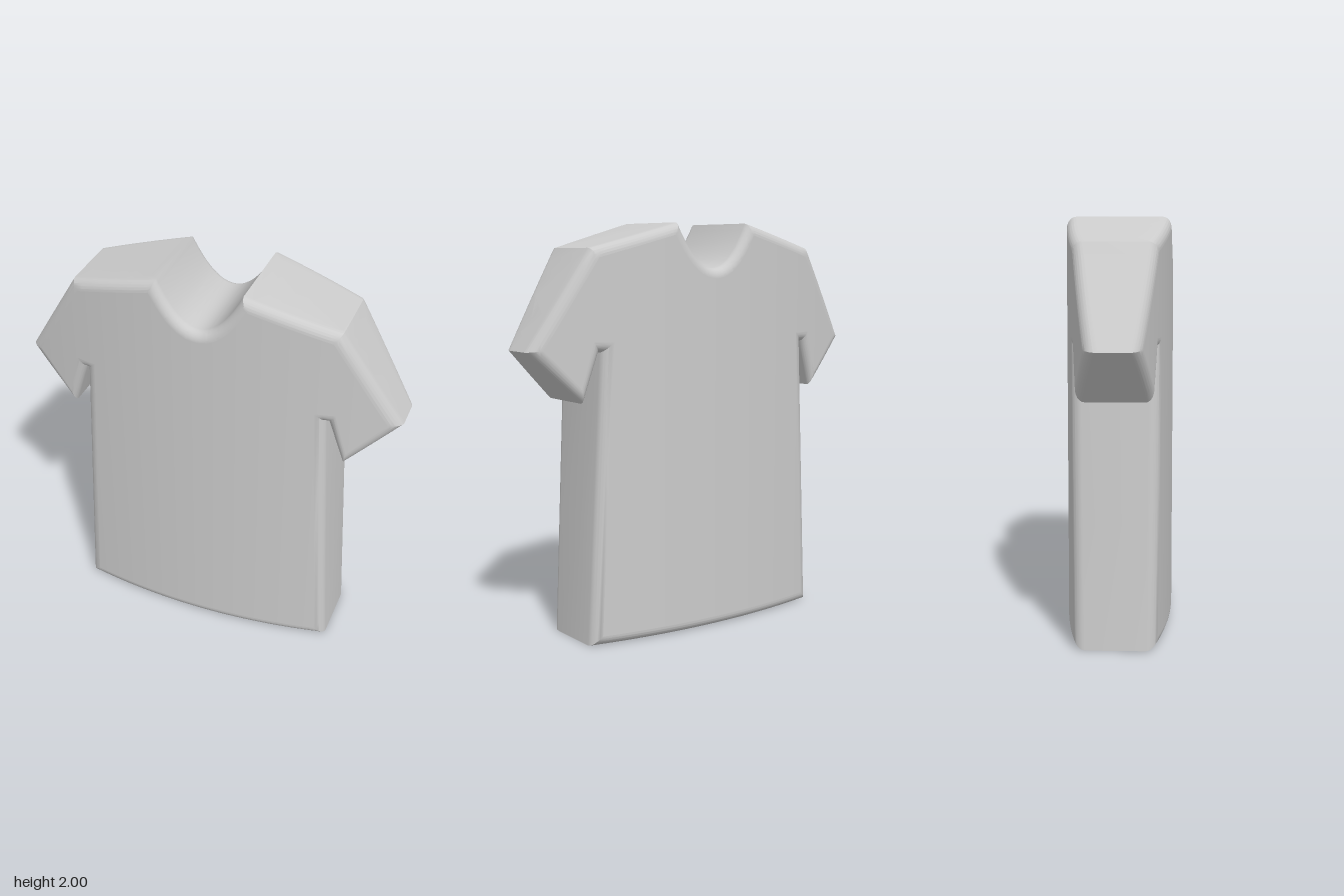
import * as THREE from 'three';
import { toCreasedNormals } from 'three/addons/utils/BufferGeometryUtils.js';

const HALF_DEPTH = 0.26; // half thickness at the centre line
const CURVE = 0.16;      // how fast the shirt thins towards the sleeves
const ROUND = 0.05;      // rounded edge size
const ROUND_Z = 0.045;

// Right half of the outline, from hem to shoulder
const HALF = [
  [0.68, 0], [0.624, 1.39], [0.612, 1.4], [0.7, 1.165],
  [0.955, 1.41], [0.66, 1.88], [0.21, 2],
];
HALF[1] = [0.609, 1.4];
HALF[2] = [0.622, 1.4];

function shirtShape() {
  const s = new THREE.Shape();
  s.moveTo(...HALF[0]);
  HALF.slice(1).forEach(([x, y]) => s.lineTo(x, y));
  s.quadraticCurveTo(0, 1.57, -0.21, 2); // neckline
  HALF.slice(0, -1).reverse().forEach(([x, y]) => s.lineTo(-x, y));
  s.closePath();
  return s;
}

// Cuts a list of triangles along the plane x = c, so they can be bent smoothly
function sliceAtX(triangles, c) {
  const out = [];
  for (const t of triangles) {
    const d = t.map((p) => (Math.abs(p.x - c) < 1e-5 ? 0 : p.x - c));
    if (Math.min(...d) >= 0 || Math.max(...d) <= 0) {
      out.push(t);
      continue;
    }
    const sides = [[], []];
    for (let i = 0; i < 3; i++) {
      const j = (i + 1) % 3;
      if (d[i] >= 0) sides[0].push(t[i]);
      if (d[i] <= 0) sides[1].push(t[i]);
      if (d[i] * d[j] < 0) {
        // always cut from the low-x end so neighbours share the same point
        const [a, b, da, db] = d[i] < 0 ? [t[i], t[j], d[i], d[j]] : [t[j], t[i], d[j], d[i]];
        const p = a.clone().lerp(b, da / (da - db));
        p.x = c;
        sides.forEach((side) => side.push(p));
      }
    }
    for (const poly of sides) {
      for (let k = 1; k + 1 < poly.length; k++) out.push([poly[0], poly[k], poly[k + 1]]);
    }
  }
  return out;
}

function shirtGeometry() {
  // Flat body with rounded rims
  const depth = 2 * (HALF_DEPTH - ROUND_Z);
  const flat = new THREE.ExtrudeGeometry(shirtShape(), {
    depth, steps: 1, curveSegments: 28,
    bevelEnabled: true, bevelSize: ROUND, bevelOffset: -ROUND,
    bevelThickness: ROUND_Z, bevelSegments: 6,
  });
  flat.translate(0, 0, -depth / 2);

  const pos = flat.attributes.position;
  let triangles = [];
  for (let i = 0; i < pos.count; i += 3) {
    triangles.push([0, 1, 2].map((k) => new THREE.Vector3().fromBufferAttribute(pos, i + k)));
  }
  for (let i = -19; i <= 19; i++) triangles = sliceAtX(triangles, i * 0.05);

  // Bend front and back into shallow arcs
  const isFace = triangles.map((t) => t.every((p) => Math.abs(p.z) > HALF_DEPTH - 1e-4));
  const points = triangles.flat().map(
    (p) => new THREE.Vector3(p.x, p.y, p.z - Math.sign(p.z) * CURVE * p.x * p.x)
  );
  let geo = new THREE.BufferGeometry().setFromPoints(points);
  geo.scale(100, 100, 100); // finer vertex matching while smoothing
  geo = toCreasedNormals(geo, 0.5);
  geo.scale(0.01, 0.01, 0.01);

  // Exact normals on the arched front and back
  const n = new THREE.Vector3();
  points.forEach((p, i) => {
    if (!isFace[Math.floor(i / 3)]) return;
    n.set(2 * CURVE * p.x, 0, Math.sign(p.z)).normalize();
    geo.attributes.normal.setXYZ(i, n.x, n.y, n.z);
  });
  return geo;
}

export function createModel() {
  const group = new THREE.Group();
  group.name = 'tShirt';
  const shirt = new THREE.Mesh(
    shirtGeometry(),
    new THREE.MeshStandardMaterial({ color: 0xcccccc })
  );
  shirt.name = 'shirtBody';
  group.add(shirt);
  return group;
}
